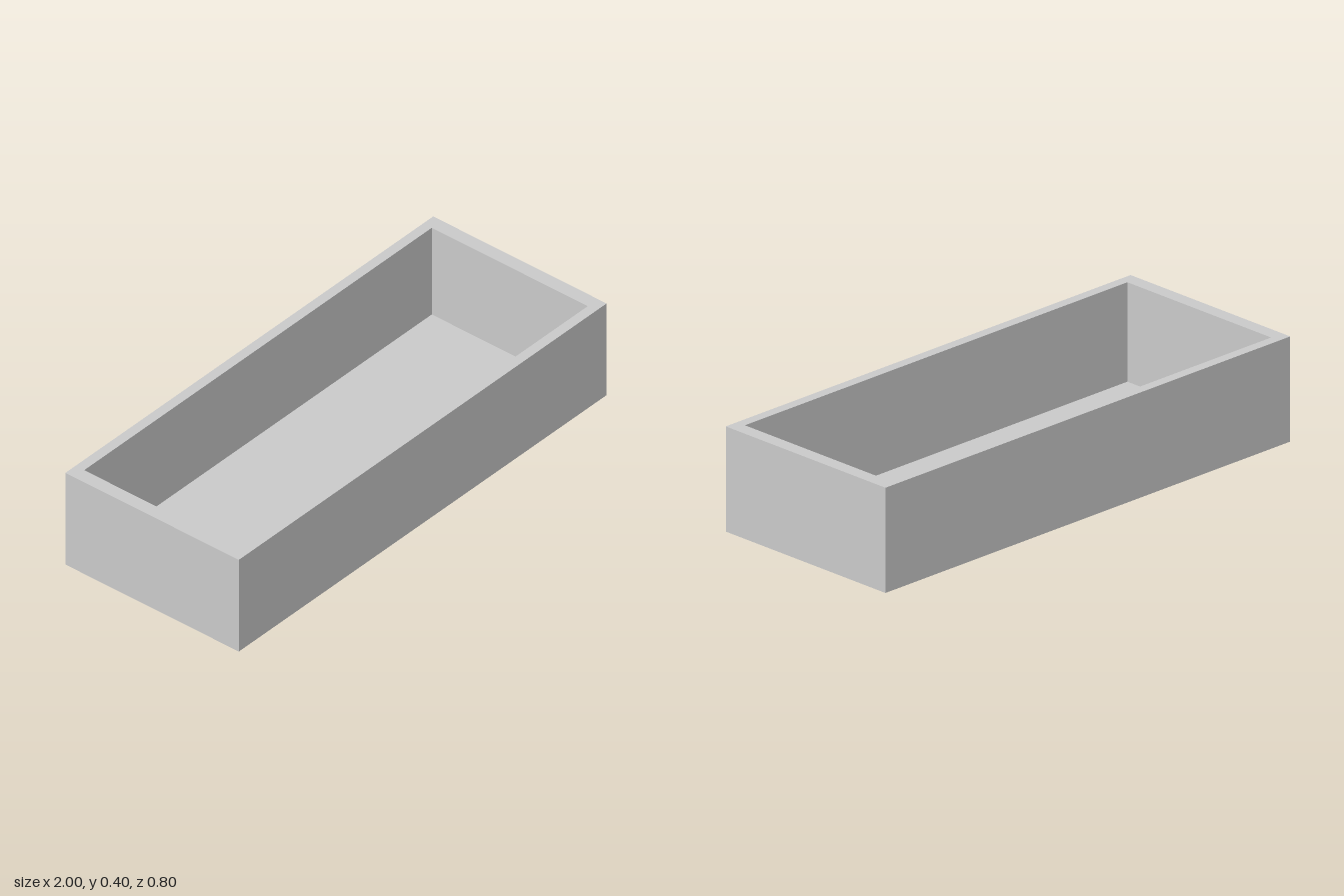
import * as THREE from 'three';

// Cross-section of the tray: half width, half depth and height of each rectangular ring
const RINGS = [
  [1, 0.4, 0],          // outer bottom
  [1, 0.4, 0.4],        // outer rim
  [0.945, 0.36, 0.4],   // inner rim
  [0.945, 0.36, 0.022], // inner floor
];
// Corners run counter-clockwise seen from above
const CORNERS = [[1, 1], [1, -1], [-1, -1], [-1, 1]];

function trayGeometry() {
  const positions = [];
  const index = [];
  for (const [w, d, y] of RINGS) {
    for (const [sx, sz] of CORNERS) positions.push(sx * w, y, sz * d);
  }
  const quad = (a, b, c, d) => index.push(a, b, c, a, c, d);

  // Outer walls, rim and inner walls
  for (let r = 0; r < RINGS.length - 1; r++) {
    for (let i = 0; i < 4; i++) {
      const j = (i + 1) % 4;
      quad(r * 4 + i, r * 4 + j, r * 4 + 4 + j, r * 4 + 4 + i);
    }
  }
  // Underside and inner floor
  quad(3, 2, 1, 0);
  const f = (RINGS.length - 1) * 4;
  quad(f, f + 1, f + 2, f + 3);

  const indexed = new THREE.BufferGeometry();
  indexed.setAttribute('position', new THREE.Float32BufferAttribute(positions, 3));
  indexed.setIndex(index);
  const geometry = indexed.toNonIndexed(); // hard edges
  geometry.computeVertexNormals();
  return geometry;
}

export function createModel() {
  const group = new THREE.Group();
  group.name = 'openBox';
  const tray = new THREE.Mesh(
    trayGeometry(),
    new THREE.MeshStandardMaterial({ color: 0xcccccc, flatShading: true })
  );
  tray.name = 'tray';
  group.add(tray);
  return group;
}
